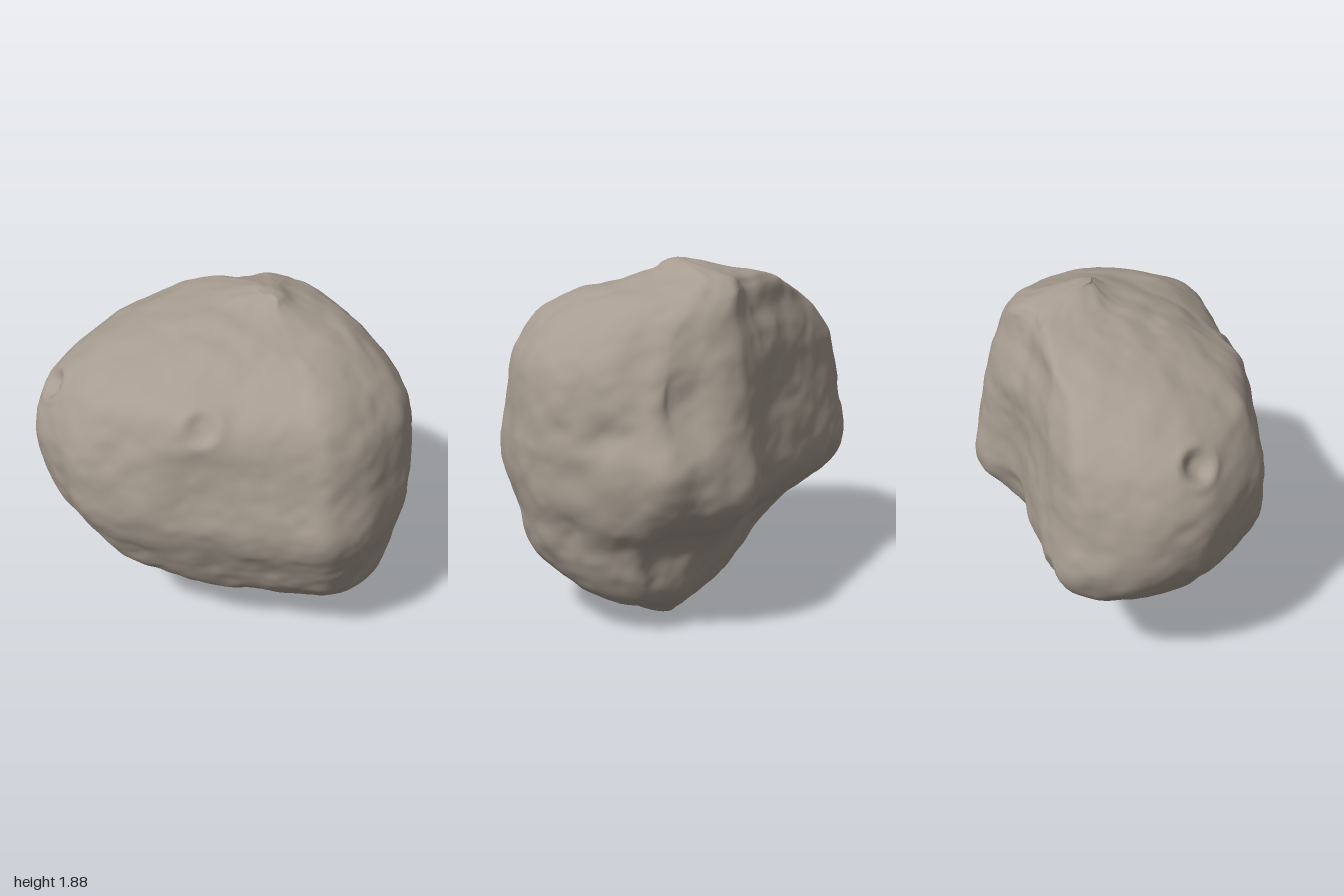
import * as THREE from 'three';

// Plan outline of the rock, [x, z]
const OUTLINE = [
  [-1, -0.18], [-0.97, -0.38], [-0.9, -0.52], [-0.8, -0.65], [-0.7, -0.75], [-0.5, -0.765],
  [-0.3, -0.745], [-0.1, -0.715], [0.08, -0.68], [0.25, -0.7], [0.4, -0.735], [0.53, -0.735],
  [0.7, -0.66], [0.8, -0.58], [0.9, -0.5], [0.94, -0.42], [0.96, -0.3], [0.98, -0.2],
  [1, 0], [0.99, 0.2], [0.91, 0.4], [0.8, 0.53], [0.68, 0.65], [0.45, 0.76], [0.3, 0.73],
  [0.05, 0.66], [-0.2, 0.575], [-0.45, 0.505], [-0.6, 0.43], [-0.8, 0.295], [-0.9, 0.12], [-0.97, -0.04],
];

// Extents of the horizontal sections: [y, xMin, xMax, zMin, zMax]
const SECTIONS = [
  [0, 0.2, 0.38, -0.17, -0.02], [0.025, 0.14, 0.43, -0.2, 0.05], [0.1, 0, 0.55, -0.28, 0.15],
  [0.2, -0.18, 0.74, -0.36, 0.32], [0.3, -0.36, 0.83, -0.41, 0.46], [0.4, -0.56, 0.87, -0.46, 0.56],
  [0.5, -0.69, 0.9, -0.53, 0.62], [0.6, -0.8, 0.935, -0.64, 0.66], [0.7, -0.88, 0.965, -0.715, 0.7],
  [0.8, -0.94, 0.98, -0.74, 0.735], [0.9, -0.975, 0.985, -0.735, 0.75], [1, -0.99, 0.99, -0.72, 0.735],
  [1.1, -1, 0.985, -0.71, 0.715], [1.2, -0.99, 0.98, -0.695, 0.7], [1.3, -0.95, 0.965, -0.68, 0.685],
  [1.4, -0.89, 0.935, -0.665, 0.66], [1.5, -0.8, 0.875, -0.63, 0.61], [1.6, -0.64, 0.79, -0.59, 0.5],
  [1.7, -0.39, 0.66, -0.56, 0.33], [1.75, -0.24, 0.53, -0.53, 0.16], [1.8, -0.04, 0.4, -0.47, -0.03],
  [1.85, 0.16, 0.32, -0.3, -0.09], [1.87, 0.2, 0.27, -0.2, -0.12],
];

// Soft lumps and hollows: [x, y, z, radius, height]
const LUMPS = [
  // right back corner: cut away above and below a jutting lobe
  [0.84, 1.4, -0.5, 0.32, -0.095], [0.86, 1.18, -0.53, 0.2, -0.04], [0.94, 0.95, -0.5, 0.17, 0.065],
  [0.85, 0.72, -0.48, 0.16, -0.025], [0.7, 0.42, -0.37, 0.22, -0.085], [0.68, 0.19, -0.1, 0.12, 0.025],
  // right side
  [0.95, 0.93, -0.22, 0.12, 0.015], [0.97, 1.1, -0.13, 0.09, -0.03], [0.9, 0.57, 0.08, 0.1, -0.02],
  // groove down the back, with fuller ground beside it
  [0.18, 1.1, -0.68, 0.12, -0.02], [0.2, 0.9, -0.67, 0.13, -0.035], [0.24, 0.7, -0.65, 0.14, -0.055],
  [0.1, 0.52, -0.52, 0.12, -0.025], [0.2, 0.32, -0.38, 0.2, 0.03],
  [-0.72, 0.7, -0.58, 0.25, 0.055], [0.15, 1.45, -0.58, 0.2, 0.035],
  // underside and front
  [-0.2, 0.27, 0.2, 0.12, -0.025], [0.1, 0.2, 0.25, 0.09, -0.02], [-0.42, 0.4, 0.3, 0.1, -0.015],
  [0.7, 0.4, 0.4, 0.18, 0.025], [0.4, 0.88, 0.73, 0.15, 0.015], [0.43, 1.55, 0.5, 0.12, 0.012],
  [-0.2, 1.45, 0.47, 0.25, 0.025], [0.3, 1.7, 0.2, 0.12, -0.015],
];

// Small impact craters: [x, y, z, radius, depth]
const CRATERS = [
  [-0.88, 1.39, -0.15, 0.1, 0.045], [-0.18, 1.48, 0.49, 0.1, 0.03], [-0.5, 0.72, -0.68, 0.1, 0.025],
];

// Smooth lattice noise in -1..1
function hash(i, j, k) {
  let h = Math.imul(i, 374761393) ^ Math.imul(j, 668265263) ^ Math.imul(k, 2147483647);
  h = Math.imul(h ^ (h >>> 13), 1274126177);
  return ((h ^ (h >>> 16)) >>> 0) / 2147483648 - 1;
}
function noise(x, y, z) {
  const [i, j, k] = [x, y, z].map(Math.floor);
  const [u, v, w] = [x - i, y - j, z - k].map((f) => f * f * (3 - 2 * f));
  const lerp = THREE.MathUtils.lerp;
  const row = (b, c) => lerp(hash(i, b, c), hash(i + 1, b, c), u);
  return lerp(lerp(row(j, k), row(j + 1, k), v), lerp(row(j, k + 1), row(j + 1, k + 1), v), w);
}

// Outward displacement at a point of the smooth body
function relief(p) {
  let d = 0.008 * noise(p.x * 4 + 9, p.y * 4, p.z * 4)
    + 0.009 * noise(p.x * 8, p.y * 8 + 5, p.z * 8)
    + 0.004 * noise(p.x * 17, p.y * 17, p.z * 17 + 3);
  const dist = (f) => Math.hypot(p.x - f[0], p.y - f[1], p.z - f[2]) / f[3];
  for (const f of LUMPS) d += f[4] * Math.exp(-(dist(f) ** 2));
  for (const f of CRATERS) {
    const r = dist(f);
    d += f[4] * (0.25 * Math.exp(-(((r - 1) / 0.3) ** 2)) - Math.exp(-((r / 0.7) ** 4)));
  }
  return d;
}

function rockGeometry(around = 180, levels = 130) {
  const plan = new THREE.CatmullRomCurve3(
    OUTLINE.map(([x, z]) => new THREE.Vector3(x, 0, z)), true).getSpacedPoints(around);
  const curve = (f) => new THREE.CatmullRomCurve3(SECTIONS.map(f), false, 'catmullrom', 0.5);
  const xCurve = curve(([y, a, b]) => new THREE.Vector3(a, y, b));
  const zCurve = curve(([y, , , a, b]) => new THREE.Vector3(a, y, b));
  const pos = [], index = [];
  const { lerp, smoothstep } = THREE.MathUtils;

  // Stack the plan outline, fitted to the extents of each level
  for (let i = 0; i <= levels; i++) {
    const xs = xCurve.getPoint(i / levels), zs = zCurve.getPoint(i / levels);
    const fill = 1 - smoothstep(xs.y, 0.4, 0.75);
    for (let j = 0; j < around; j++) {
      const q = plan[j];
      // The notch in the back fades out towards the bottom
      const inNotch = q.z < 0 && q.x > -0.5 && q.x < 0.5;
      const qz = inNotch ? lerp(q.z, Math.min(q.z, -0.765 + 0.03 * (q.x + 0.5)), fill) : q.z;
      pos.push(lerp(xs.x, xs.z, (q.x + 1) / 2), xs.y, lerp(zs.x, zs.z, (qz + 0.765) / 1.525));
      if (i === levels) continue;
      const n = (j + 1) % around;
      const a = i * around + j, b = i * around + n, c = a + around, d = b + around;
      index.push(a, c, b, b, c, d);
    }
  }
  // Close the bottom and the top
  const bottom = pos.length / 3, top = bottom + 1, last = levels * around;
  pos.push(0.3, 0, -0.095, 0.235, 1.872, -0.16);
  for (let j = 0; j < around; j++) {
    const n = (j + 1) % around;
    index.push(bottom, j, n, top, last + n, last + j);
  }

  const geo = new THREE.BufferGeometry();
  geo.setAttribute('position', new THREE.Float32BufferAttribute(pos, 3));
  geo.setIndex(index);
  geo.computeVertexNormals();

  // Push the surface in and out along its normals
  const P = geo.attributes.position, N = geo.attributes.normal;
  const p = new THREE.Vector3(), nrm = new THREE.Vector3();
  for (let i = 0; i < P.count; i++) {
    p.fromBufferAttribute(P, i);
    nrm.fromBufferAttribute(N, i);
    p.addScaledVector(nrm, relief(p));
    P.setXYZ(i, p.x, p.y, p.z);
  }

  // Centre it and stand it on the ground
  geo.computeBoundingBox();
  const { min, max } = geo.boundingBox;
  geo.translate(-(min.x + max.x) / 2, -min.y, -(min.z + max.z) / 2);
  geo.computeVertexNormals();
  return geo;
}

export function createModel() {
  const group = new THREE.Group();
  group.name = 'asteroid';
  const stone = new THREE.MeshStandardMaterial({ color: 0xa79c90 });
  stone.name = 'greyBrownStone';
  const rock = new THREE.Mesh(rockGeometry(), stone);
  rock.name = 'rockBody';
  group.add(rock);
  return group;
}
